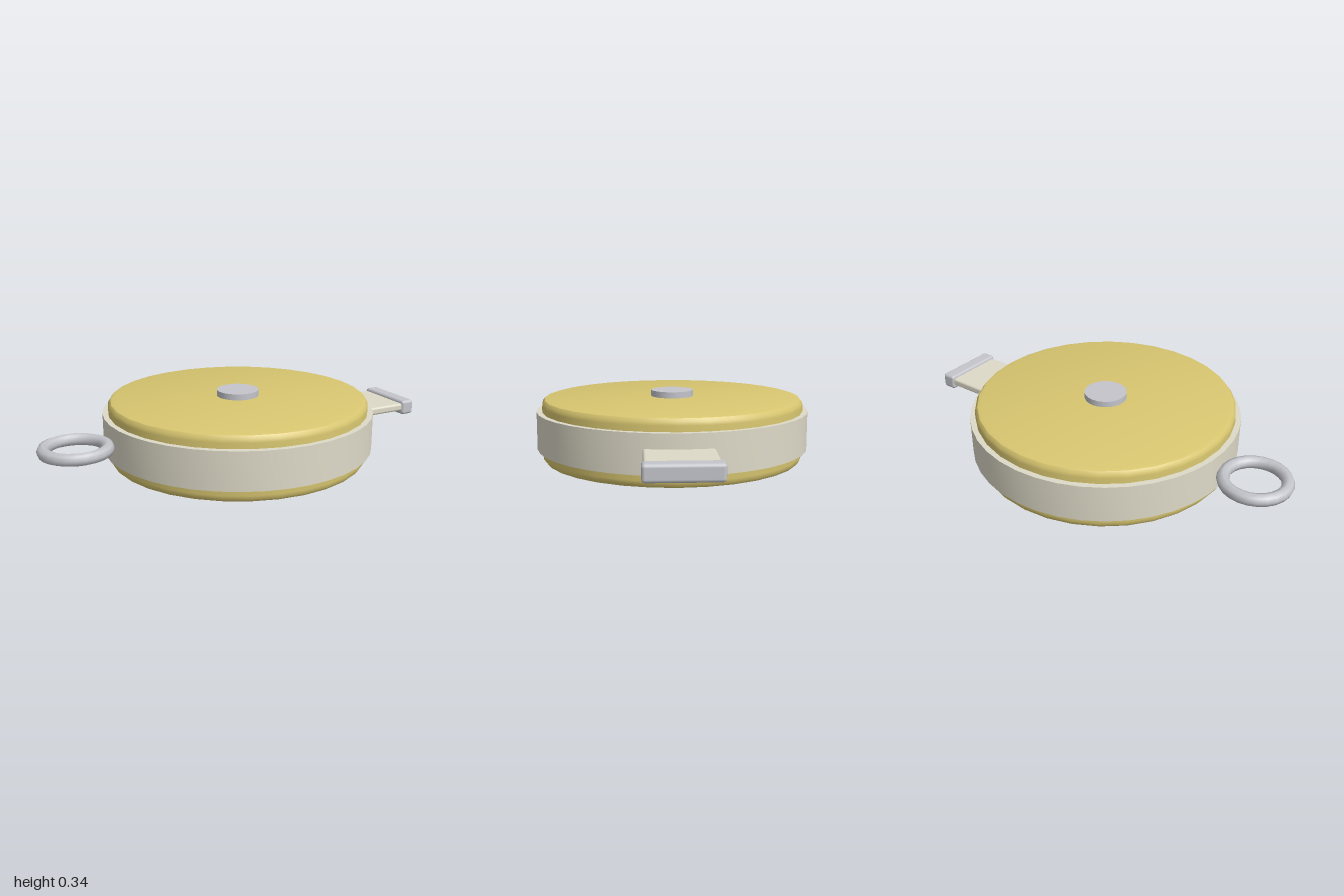
import * as THREE from 'three';
import { RoundedBoxGeometry } from 'three/addons/geometries/RoundedBoxGeometry.js';
import { toCreasedNormals } from 'three/addons/utils/BufferGeometryUtils.js';

export function createModel() {
  const model = new THREE.Group();
  model.name = 'tapeMeasure';
  const gold = new THREE.MeshStandardMaterial({ color: 0xd8c670 });
  const cream = new THREE.MeshStandardMaterial({ color: 0xdedac8 });
  const metal = new THREE.MeshStandardMaterial({ color: 0xc4c5cb });
  const cx = 0.01; // axis of the round case
  const midY = 0.157;

  function add(name, geometry, material, x, y) {
    const mesh = new THREE.Mesh(geometry, material);
    mesh.name = name;
    mesh.position.set(x, y, 0);
    model.add(mesh);
    return mesh;
  }
  const lathe = (points, sides) =>
    toCreasedNormals(new THREE.LatheGeometry(points.map(([r, y]) => new THREE.Vector2(r, y)), sides), 0.6);

  // Round case with softened rims
  add('case', lathe([
    [0, 0], [0.61, 0], [0.628, 0.005], [0.639, 0.019], [0.641, 0.035],
    [0.641, 0.275], [0.639, 0.291], [0.628, 0.305], [0.61, 0.31], [0, 0.31],
  ], 32), gold, cx, 0);

  // Raised band round the middle of the case
  add('band', lathe([
    [0.62, 0.065], [0.667, 0.065], [0.667, 0.248], [0.62, 0.248], [0.62, 0.065],
  ], 40), cream, cx, 0);

  // Rewind button
  add('button', new THREE.CylinderGeometry(0.104, 0.104, 0.04, 24), metal, cx, 0.32);

  // Hanging ring, lying flat
  const ring = add('ring', new THREE.TorusGeometry(0.146, 0.03, 8, 24), metal, -0.824, 0.16);
  ring.rotation.x = Math.PI / 2;

  // Tape end and its metal clip
  add('tape', new RoundedBoxGeometry(0.36, 0.04, 0.31, 2, 0.012), cream, 0.77, midY + 0.003);
  add('clip', new RoundedBoxGeometry(0.074, 0.076, 0.326, 2, 0.015), metal, 0.963, midY);

  return model;
}
